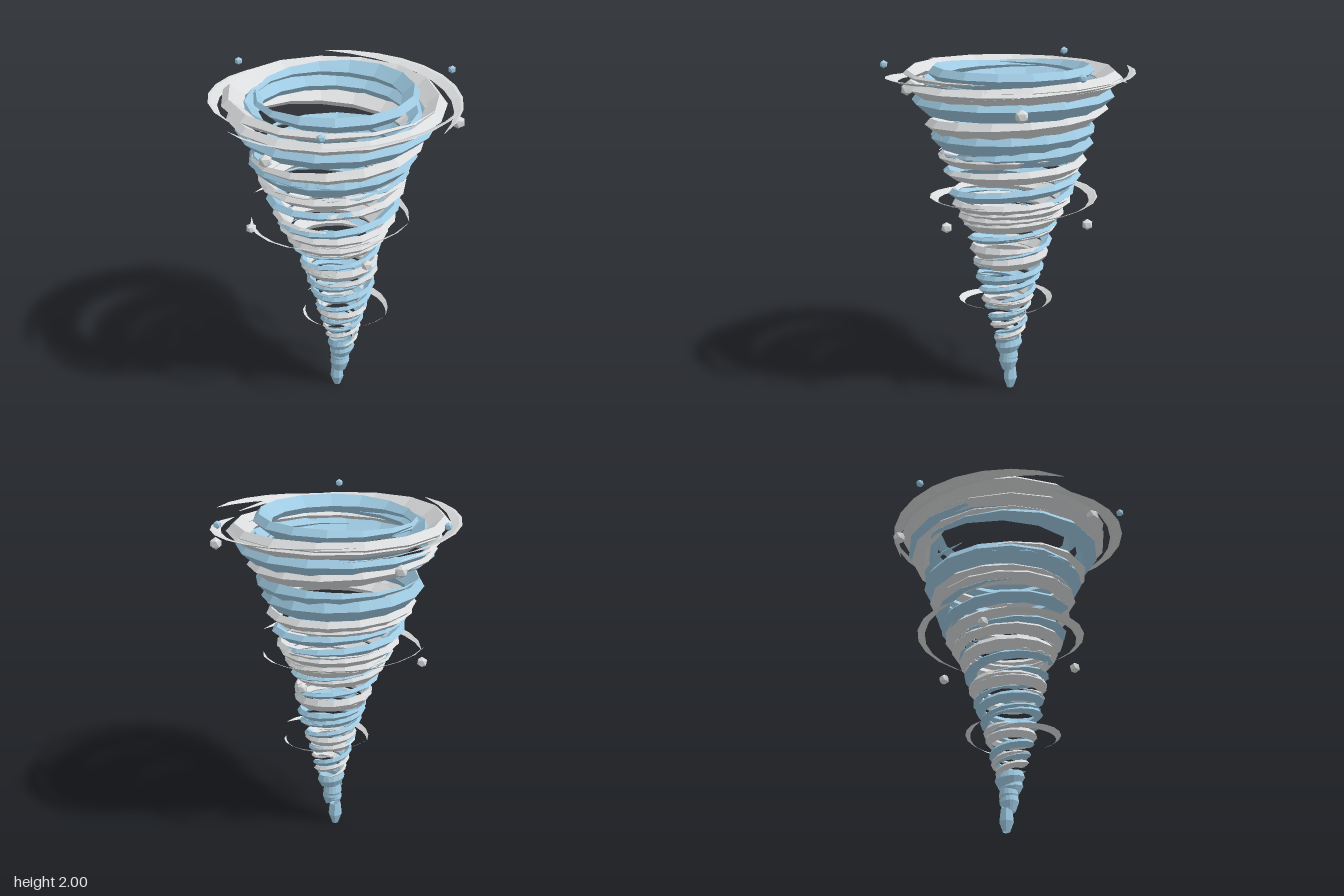
import * as THREE from 'three';

const blue = new THREE.MeshStandardMaterial({ color: 0x9fcae2 });
blue.name = 'pale blue';
const grey = new THREE.MeshStandardMaterial({ color: 0xdadcdd });
grey.name = 'light grey';

// funnel outline as (radius, height) points
const outline = [
  [0.045, 0], [0.062, 0.2], [0.13, 0.48], [0.2, 0.72], [0.27, 1],
  [0.36, 1.17], [0.435, 1.4], [0.525, 1.65], [0.66, 1.9], [0.67, 2],
];

function radiusAt(y) {
  const i = Math.max(1, outline.findIndex((p) => p[1] >= y));
  const [a, b] = [outline[i - 1], outline[i]];
  return THREE.MathUtils.mapLinear(y, a[1], b[1], a[0], b[0]);
}

// the axis leans a little to one side low down and to the other higher up
const axisAt = (y) => (y < 1 ? 0.035 * Math.sin(Math.PI * y) : -0.035 * Math.sin((Math.PI * (y - 1)) / 1.1));

// sweep a tapering diamond section; at(u) gives one station, r being its outer edge
function sweep(name, material, steps, at) {
  const pos = [], idx = [];
  for (let i = 0; i <= steps; i++) {
    const { a, y, r, x, h, t, lean } = at(i / steps);
    const section = [[r - t, -lean * 0.4], [r - t * 0.42 + lean * 0.4, h / 2], [r, lean * 0.4], [r - t * 0.58 - lean * 0.4, -h / 2]];
    for (const [rad, dy] of section) pos.push(x + Math.sin(a) * rad, y + dy, Math.cos(a) * rad);
  }
  for (let i = 0; i < steps; i++) {
    for (let k = 0; k < 4; k++) {
      const p = i * 4 + k, q = i * 4 + (k + 1) % 4;
      idx.push(p, q, q + 4, p, q + 4, p + 4);
    }
  }
  const indexed = new THREE.BufferGeometry();
  indexed.setAttribute('position', new THREE.Float32BufferAttribute(pos, 3));
  indexed.setIndex(idx);
  const geometry = indexed.toNonIndexed();
  geometry.computeVertexNormals();
  const mesh = new THREE.Mesh(geometry, material);
  mesh.name = name;
  return mesh;
}

// helical wind band that follows the funnel outline
function windBand(material, y, rise, h, startDeg, inset = 0) {
  const turns = 1.2;
  return sweep('windBand', material, 18, (u) => {
    const yy = y + (u - 0.5) * rise, r = radiusAt(yy) - inset;
    const f = Math.max(0.03, Math.min(1, Math.min(u, 1 - u) / 0.3));
    const t = 0.02 + 0.17 * r;
    return {
      a: THREE.MathUtils.degToRad(startDeg) + u * turns * Math.PI * 2, y: yy,
      r: r - t * (1 - f) * 0.35, x: axisAt(yy), h: h * f, t: t * f, lean: t * 0.25 * f,
    };
  });
}

// thin loose crescent circling the funnel
function crescent(y, rise, radius, width, fromDeg, spanDeg, x) {
  return sweep('windCrescent', grey, 10, (u) => {
    const f = Math.max(0.03, Math.sin(Math.PI * u) ** 0.7);
    return {
      a: THREE.MathUtils.degToRad(fromDeg + spanDeg * u), y: y + (u - 0.5) * rise,
      r: radius + 0.03 * u - width * (1 - f) * 0.3, x, h: 0.02 * f, t: width * f, lean: 0.03 * f,
    };
  });
}

export function createModel() {
  const model = new THREE.Group();
  model.name = 'whirlwind';

  // each layer is a pair of opposite bands: colour, height, rise, band height
  const layers = [
    [blue, 0.195, 0.02, 0.11], [blue, 0.3, 0.07, 0.08], [grey, 0.4, 0.18, 0.04], [blue, 0.48, 0.2, 0.05],
    [grey, 0.575, 0.07, 0.06], [blue, 0.65, 0.22, 0.045], [blue, 0.75, 0.16, 0.06], [grey, 0.865, 0.1, 0.08],
    [blue, 0.965, 0.24, 0.045], [grey, 1.07, 0.14, 0.08], [grey, 1.165, 0.14, 0.07], [blue, 1.27, 0.26, 0.07],
    [grey, 1.41, 0.16, 0.08], [blue, 1.54, 0.12, 0.12],
  ];
  const funnel = new THREE.Group();
  funnel.name = 'funnel';
  layers.forEach(([material, y, rise, h], i) => {
    for (const side of [0, 1]) {
      funnel.add(windBand(material, y + (side - 0.5) * 0.3 * h, rise, h, 200 + i * 70 + side * 180, side * 0.006));
    }
  });

  // flared rim: grey bands outside, blue bands inside
  funnel.add(
    windBand(grey, 1.67, 0.24, 0.1, 270),
    windBand(blue, 1.77, 0.09, 0.12, 240),
    windBand(blue, 1.84, 0.1, 0.1, 20, 0.1),
    windBand(blue, 1.925, 0.02, 0.1, 250, 0.18),
    windBand(grey, 1.85, 0.09, 0.09, 220),
    windBand(grey, 1.9, 0.06, 0.1, 30, 0.02),
  );

  // hollow tip standing on the ground
  const tipProfile = [[0.02, 0], [0.042, 0.06], [0.034, 0.135], [0.016, 0.13], [0.02, 0]];
  const tip = new THREE.Mesh(
    new THREE.LatheGeometry(tipProfile.map(([x, y]) => new THREE.Vector2(x, y)), 7).toNonIndexed(), blue,
  );
  tip.geometry.computeVertexNormals();
  tip.name = 'funnelTip';
  funnel.add(tip);
  model.add(funnel);

  // loose crescents around the top, middle and lower funnel
  const crescents = new THREE.Group();
  crescents.name = 'crescents';
  for (const start of [90, 210, 333]) crescents.add(crescent(1.9, 0.09, 0.705, 0.075, start, 130, 0));
  for (const start of [120, 300]) {
    crescents.add(crescent(1.18, 0.08, 0.48, 0.05, start, 160, -0.05), crescent(0.58, 0.05, 0.26, 0.035, start - 10, 160, 0.06));
  }
  model.add(crescents);

  // flying debris in rings of three
  function debrisTrio(material, size, y, radius, startDeg, x) {
    for (let k = 0; k < 3; k++) {
      const a = THREE.MathUtils.degToRad(startDeg + k * 120);
      const rock = new THREE.Mesh(new THREE.IcosahedronGeometry(size, 0), material);
      rock.name = 'debris';
      rock.rotation.x = -1.017;
      rock.position.set(x + Math.sin(a) * radius, y, Math.cos(a) * radius);
      model.add(rock);
    }
  }
  debrisTrio(grey, 0.038, 1.785, 0.68, 0, 0);
  debrisTrio(grey, 0.033, 1.065, 0.47, 60, -0.05);
  debrisTrio(blue, 0.024, 1.976, 0.72, 27, 0);
  return model;
}
